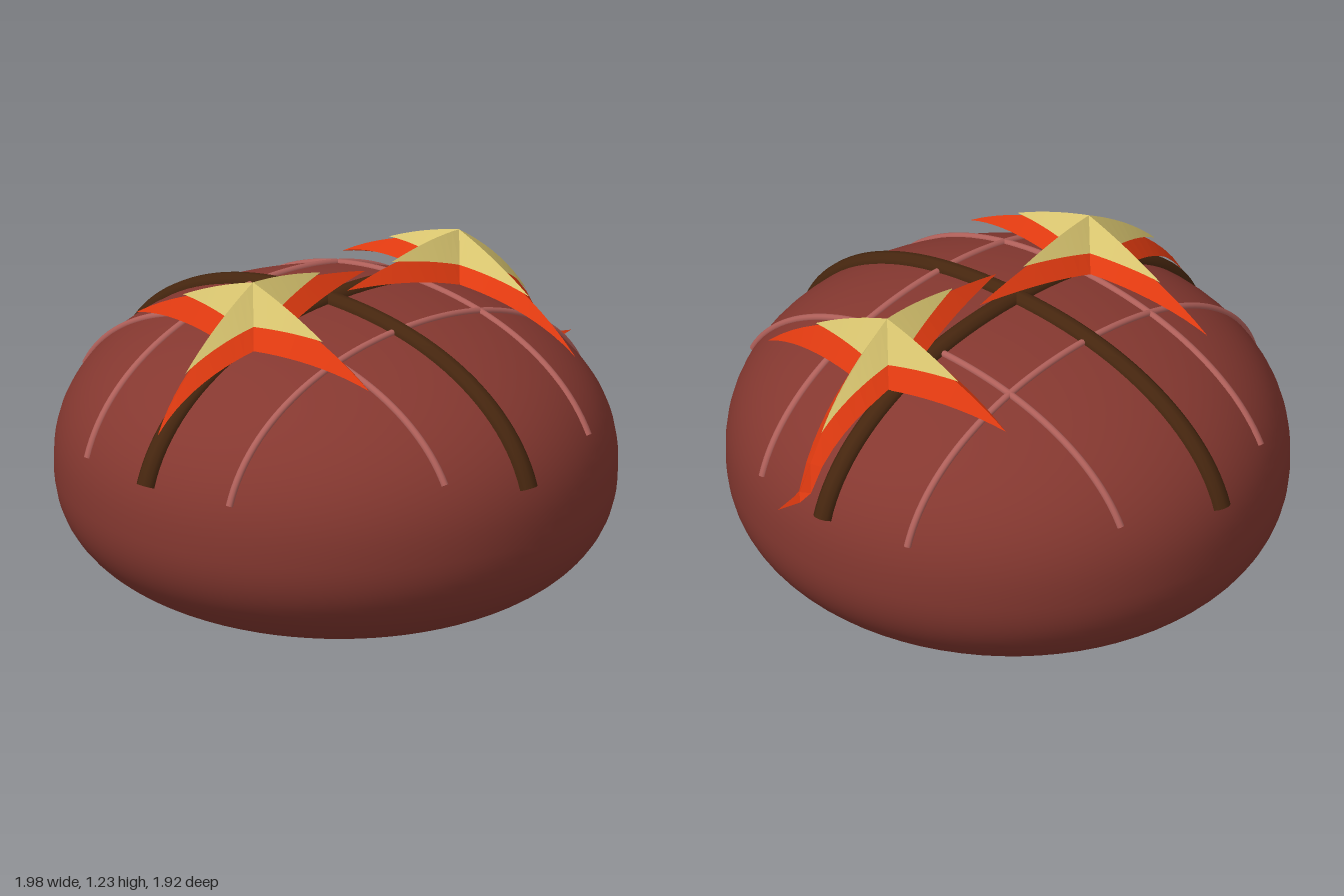
import * as THREE from 'three';

const CX = -0.05, R = 0.935, MID = 0.5, ZS = 1.02;

const mat = (name, color, side = THREE.FrontSide) => {
  const m = new THREE.MeshStandardMaterial({ color, side });
  m.name = name;
  return m;
};

// Height of the bun's upper surface; beyond the rim it stays level
function surfaceY(x, z) {
  const r = Math.min(Math.hypot(x - CX, z / ZS), 0.915);
  return MID + 0.58 * Math.pow(1 - Math.pow(r / R, 2.2), 1 / 2.2);
}

// Rounded bun: two superellipse halves, flatter underneath
function bun(material) {
  const pts = [];
  const n = 28;
  for (let i = -n; i <= n; i++) {
    const a = Math.abs(i) / n * Math.PI / 2;
    const p = i < 0 ? 2.45 : 2.2;
    const r = Math.abs(i) === n ? 0 : R * Math.pow(Math.cos(a), 2 / p);
    const h = Math.pow(Math.sin(a), 2 / p);
    pts.push(new THREE.Vector2(r, MID + (i < 0 ? -0.495 : 0.58) * h));
  }
  const mesh = new THREE.Mesh(new THREE.LatheGeometry(pts, 72), material);
  mesh.name = 'bun';
  mesh.position.x = CX;
  mesh.scale.z = ZS;
  return mesh;
}

// Strand laid over the bun, along x or along z, with closed ends
function strand(name, alongX, at, half, radius, lift, material) {
  const group = new THREE.Group();
  group.name = name;
  const pts = [];
  for (let i = -12; i <= 12; i++) {
    const s = half * Math.sin(i / 12 * Math.PI / 2);
    const x = alongX ? CX + s : at, z = alongX ? at : s;
    pts.push(new THREE.Vector3(x, surfaceY(x, z) + lift, z));
  }
  const curve = new THREE.CatmullRomCurve3(pts);
  group.add(new THREE.Mesh(new THREE.TubeGeometry(curve, 64, radius, 10), material));
  for (const t of [0, 1]) {
    const cap = new THREE.Mesh(new THREE.CircleGeometry(radius, 10), material);
    const dir = curve.getTangent(t).multiplyScalar(t ? 1 : -1);
    cap.position.copy(curve.getPoint(t));
    cap.quaternion.setFromUnitVectors(new THREE.Vector3(0, 0, 1), dir);
    group.add(cap);
  }
  return group;
}

// Four-pointed ridged star draped over the bun
function star(name, cx, cz, lengths, inner, edgeLift, tipLift, peakLift, material) {
  const pos = [];
  const steps = 10;
  lengths.forEach((len, k) => {
    const dx = [1, 0, -1, 0][k], dz = [0, 1, 0, -1][k];
    const point = (along, across, lift) => {
      const x = cx + dx * along - dz * across, z = cz + dz * along + dx * across;
      return [x, surfaceY(x, z) + lift, z];
    };
    const ridge = t => point(len * t, 0, THREE.MathUtils.lerp(peakLift, tipLift, t));
    const edge = (t, s) => point(THREE.MathUtils.lerp(inner, len, t), s * inner * (1 - t),
      THREE.MathUtils.lerp(edgeLift, tipLift, t));
    for (let i = 0; i < steps; i++) {
      const a = i / steps, b = (i + 1) / steps;
      for (const s of [1, -1]) {
        const r0 = ridge(a), r1 = ridge(b), e0 = edge(a, s), e1 = edge(b, s);
        if (s > 0) pos.push(...r0, ...e0, ...r1, ...r1, ...e0, ...e1);
        else pos.push(...r0, ...r1, ...e0, ...r1, ...e1, ...e0);
      }
    }
  });
  const geo = new THREE.BufferGeometry();
  geo.setAttribute('position', new THREE.Float32BufferAttribute(pos, 3));
  geo.computeVertexNormals();
  const mesh = new THREE.Mesh(geo, material);
  mesh.name = name;
  return mesh;
}

export function createModel() {
  const model = new THREE.Group();
  model.name = 'decoratedBun';
  const crust = mat('crust', 0x853830);
  const dark = mat('darkBand', 0x46260f);
  const pink = mat('pinkLine', 0xb0605a);
  const red = mat('redStar', 0xe03a10, THREE.DoubleSide);
  const gold = mat('goldStar', 0xdac670, THREE.DoubleSide);

  model.add(bun(crust));

  // Dark crossed bands
  model.add(strand('bandFrontToBack', false, -0.09, 0.93, 0.035, -0.005, dark));
  model.add(strand('bandSideToSide', true, 0, 0.912, 0.035, -0.005, dark));

  // Thin grid lines
  for (const z of [-0.33, 0.33]) model.add(strand('gridLineAcross', true, z, 0.855, 0.013, 0, pink));
  for (const x of [-0.39, 0.3]) model.add(strand('gridLineAlong', false, x, 0.835, 0.013, 0, pink));

  // Layered stars: arm lengths run +x, +z, -x, -z
  const stars = [
    ['right', -0.45, 0, [0.54, 0.54, 0.46, 0.54]],
    ['left', 0.45, 0.09, [0.54, 0.54, 0.54, 0.54]],
  ];
  for (const [side, x, z, arms] of stars) {
    model.add(star(side + 'RedStar', x, z, arms, 0.09, 0.03, 0.055, 0.16, red));
    model.add(star(side + 'GoldStar', x, z, [0.325, 0.325, 0.325, 0.325], 0.06, 0.09, 0.105, 0.2, gold));
  }
  return model;
}
